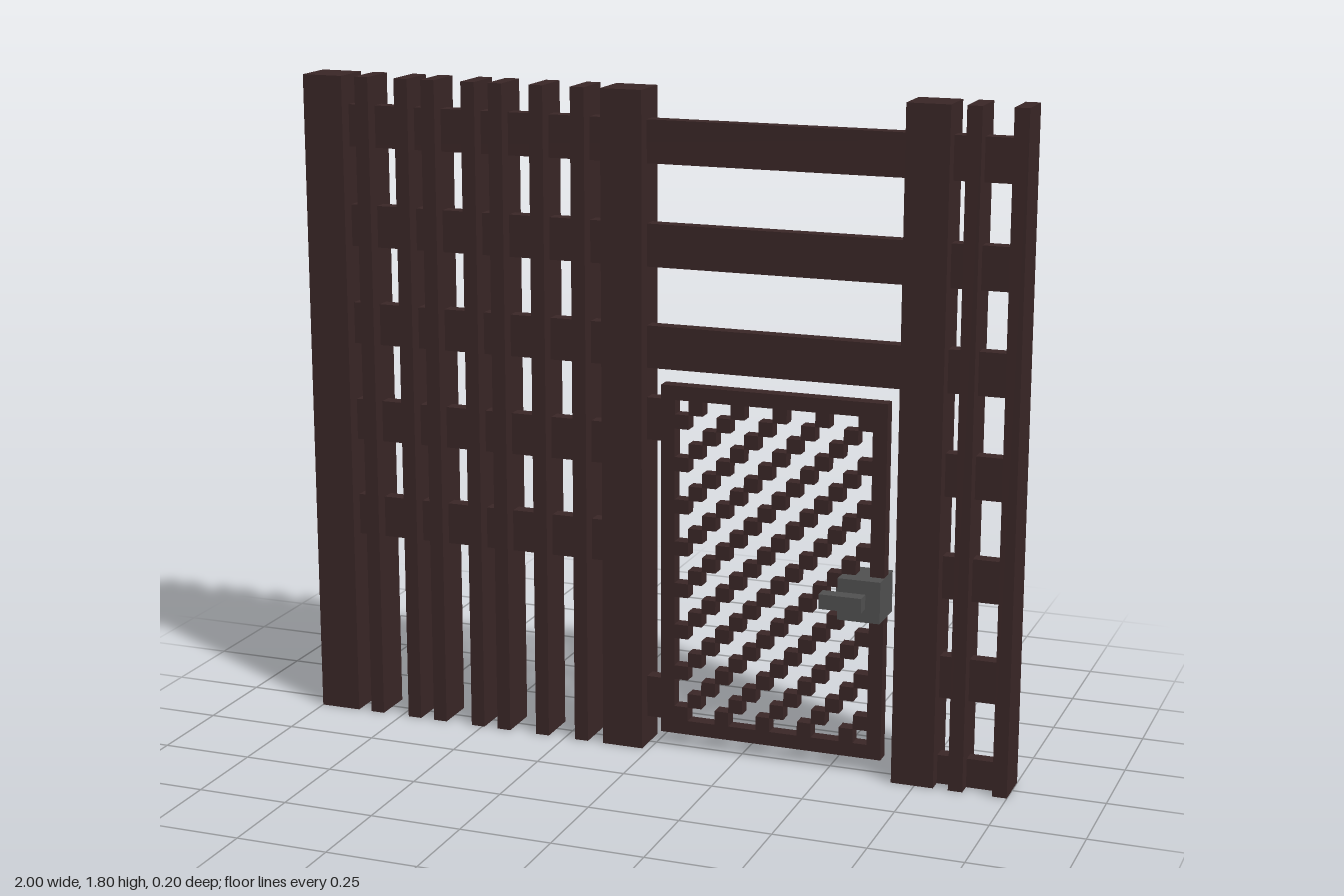
import * as THREE from 'three';

export function createModel() {
  const model = new THREE.Group();
  model.name = 'fenceWithGate';

  const wood = new THREE.MeshStandardMaterial({ color: 0x3a2626 });
  wood.name = 'dark wood';
  const metal = new THREE.MeshStandardMaterial({ color: 0x505050 });
  metal.name = 'grey metal';

  // Box given by its limits, centred on z unless a z range is given
  function box(parent, name, material, x0, x1, y0, y1, z0, z1) {
    const mesh = new THREE.Mesh(new THREE.BoxGeometry(x1 - x0, y1 - y0, z1 - z0), material);
    mesh.position.set((x0 + x1) / 2, (y0 + y1) / 2, (z0 + z1) / 2);
    mesh.name = name;
    parent.add(mesh);
  }

  const height = 1.805, depth = 0.059, thin = 0.0195, cell = 0.0391;

  // Thick posts
  for (const x of [-1, -0.135, 0.686]) {
    box(model, 'post', wood, x, x + 0.115, 0, height, -depth, depth);
  }

  // Narrow upright slats
  for (const x of [-0.826, -0.709, -0.63, -0.513, -0.434, -0.317, -0.2, 0.861, 0.98]) {
    box(model, 'slat', wood, x - cell / 2, x + cell / 2, 0, height, -depth, depth);
  }

  // Rails: the top three span the gate, two more on both sides, the lowest on one side only
  const railYs = [1.667, 1.393, 1.12, 0.846, 0.571, 0.298];
  railYs.forEach((y, i) => {
    const y0 = y - 0.0575, y1 = y + 0.0575;
    if (i < 3) {
      box(model, 'longRail', wood, -0.95, 0.99, y0, y1, -thin, thin);
    } else {
      if (i < 5) box(model, 'rightRail', wood, -0.95, -0.08, y0, y1, -thin, thin);
      box(model, 'leftRail', wood, 0.74, 0.99, y0, y1, -thin, thin);
    }
  });
  box(model, 'bottomRail', wood, 0.74, 0.99, 0, 0.08, -thin, thin);

  // Gate frame
  const gate = new THREE.Group();
  gate.name = 'gate';
  model.add(gate);
  const gx0 = 0.02, gx1 = 0.645, gy0 = 0.042, gy1 = 1.02;
  box(gate, 'gateSide', wood, gx0, gx0 + cell, gy0, gy1, -thin, thin);
  box(gate, 'gateSide', wood, gx1 - cell, gx1, gy0, gy1, -thin, thin);
  box(gate, 'gateBottom', wood, gx0 + cell, gx1 - cell, gy0, gy0 + cell, -thin, thin);
  box(gate, 'gateTop', wood, gx0 + cell, gx1 - cell, gy1 - cell, gy1, -thin, thin);

  // Hinges
  for (const y of [0.081, 0.866]) {
    box(gate, 'hinge', wood, -0.03, gx0, y, y + 0.116, -thin, thin);
  }

  // Stepped diagonal lattice, every third cell filled
  const cols = 14, rows = 23;
  const w = (gx1 - gx0 - 2 * cell) / cols, h = (gy1 - gy0 - 2 * cell) / rows;
  for (let r = 0; r < rows; r++) {
    for (let c = 0; c < cols; c++) {
      if ((c + r) % 3 !== 1) continue;
      const x = gx0 + cell + c * w, y = gy1 - cell - r * h;
      box(gate, 'latticeBlock', wood, x, x + w, y - h, y, -thin, thin);
    }
  }

  // Lock case with a handle on each face
  box(gate, 'lockCase', metal, 0.53, 0.646, 0.436, 0.55, -depth, depth);
  box(gate, 'frontHandle', metal, 0.49, 0.606, 0.473, 0.513, depth, 0.098);
  box(gate, 'backHandle', metal, 0.49, 0.606, 0.473, 0.513, -0.098, -depth);

  return model;
}
